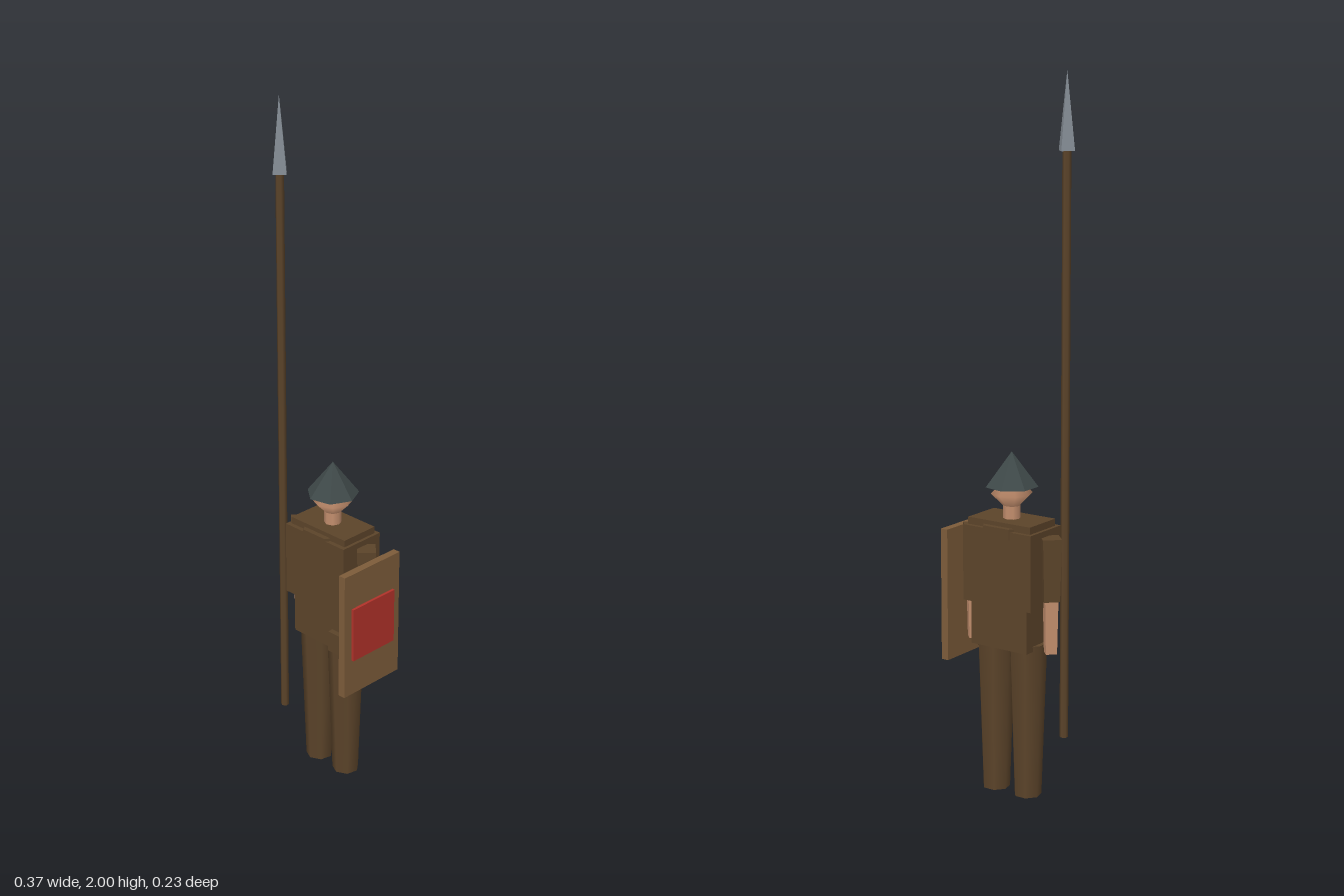
import * as THREE from 'three';

export function createModel() {
  const root = new THREE.Group();
  root.name = 'spearman';
  const mat = (name, color) => {
    const m = new THREE.MeshStandardMaterial({ color });
    m.name = name;
    return m;
  };
  const cloth = mat('brown cloth', 0x5c442a);
  const wood = mat('shield wood', 0x7d5c3a);
  const red = mat('red paint', 0xb2322a);
  const skin = mat('skin', 0xc48f6e);
  const iron = mat('dark iron', 0x3e4848);
  const steel = mat('steel', 0x848c94);

  const add = (name, geo, material, x = 0, y = 0, z = 0) => {
    const m = new THREE.Mesh(geo, material);
    m.name = name;
    m.position.set(x, y, z);
    root.add(m);
    return m;
  };
  // Box given by its limits on each axis
  const box = (name, material, [x0, x1], [y0, y1], [z0, z1]) =>
    add(name, new THREE.BoxGeometry(x1 - x0, y1 - y0, z1 - z0), material,
      (x0 + x1) / 2, (y0 + y1) / 2, (z0 + z1) / 2);
  // Upright tapered prism between two heights; few sides stay faceted
  const post = (name, material, x, z, y0, y1, rBottom, rTop, sides) => {
    let g = new THREE.CylinderGeometry(rTop, rBottom, y1 - y0, sides);
    if (sides <= 4) {
      g = g.toNonIndexed();
      g.computeVertexNormals();
    }
    return add(name, g, material, x, (y0 + y1) / 2, z);
  };

  const cx = -0.018, cz = -0.04;

  // Torso, shoulder slab and pelvis
  box('torso', cloth, [-0.131, 0.095], [0.555, 0.77], [-0.112, 0.033]);
  box('shoulderSlab', cloth, [-0.121, 0.086], [0.765, 0.79], [-0.1, 0.02]);
  box('pelvis', cloth, [-0.11, 0.076], [0.43, 0.56], [-0.1, 0.02]);
  box('beltPouch', cloth, [0.04, 0.097], [0.43, 0.492], [-0.01, 0.037]);

  // Bevelled yoke peeking out at the chest and back
  const yoke = new THREE.Shape([
    [-0.051, -0.06], [-0.042, -0.075], [0.042, -0.075], [0.051, -0.06],
    [0.051, 0.06], [0.042, 0.075], [-0.042, 0.075], [-0.051, 0.06],
  ].map(([x, y]) => new THREE.Vector2(x, y)));
  const yokeGeo = new THREE.ExtrudeGeometry(yoke, { depth: 0.03, bevelEnabled: false });
  yokeGeo.rotateX(-Math.PI / 2);
  add('yoke', yokeGeo, cloth, cx, 0.748, cz);

  // Neck, head and conical helmet
  post('neck', skin, cx, cz, 0.78, 0.83, 0.024, 0.024, 8);
  add('head', new THREE.SphereGeometry(0.058, 8, 2), skin, cx, 0.86, cz);
  const helmet = new THREE.ConeGeometry(0.074, 0.096, 7).toNonIndexed();
  helmet.computeVertexNormals();
  add('helmet', helmet, iron, cx, 0.928, cz).rotation.y = Math.PI / 2;

  // Arms and legs
  for (const [side, armX, legX] of [['left', 0.112, 0.036], ['right', -0.148, -0.072]]) {
    post(side + 'Sleeve', cloth, armX, cz, 0.577, 0.753, 0.031, 0.037, 4);
    post(side + 'Forearm', skin, armX, cz, 0.427, 0.58, 0.022, 0.026, 4);
    post(side + 'Leg', cloth, legX, cz, 0, 0.445, 0.039, 0.054, 7);
  }

  // Spear
  post('spearShaft', cloth, -0.149, 0.026, 0.165, 1.795, 0.012, 0.012, 6);
  post('spearHead', steel, -0.149, 0.026, 1.79, 2, 0.026, 0, 4);

  // Shield with its painted square
  box('shield', wood, [0.155, 0.177], [0.365, 0.743], [-0.105, 0.112]);
  box('shieldPaint', red, [0.1765, 0.185], [0.475, 0.637], [-0.078, 0.085]);

  return root;
}
